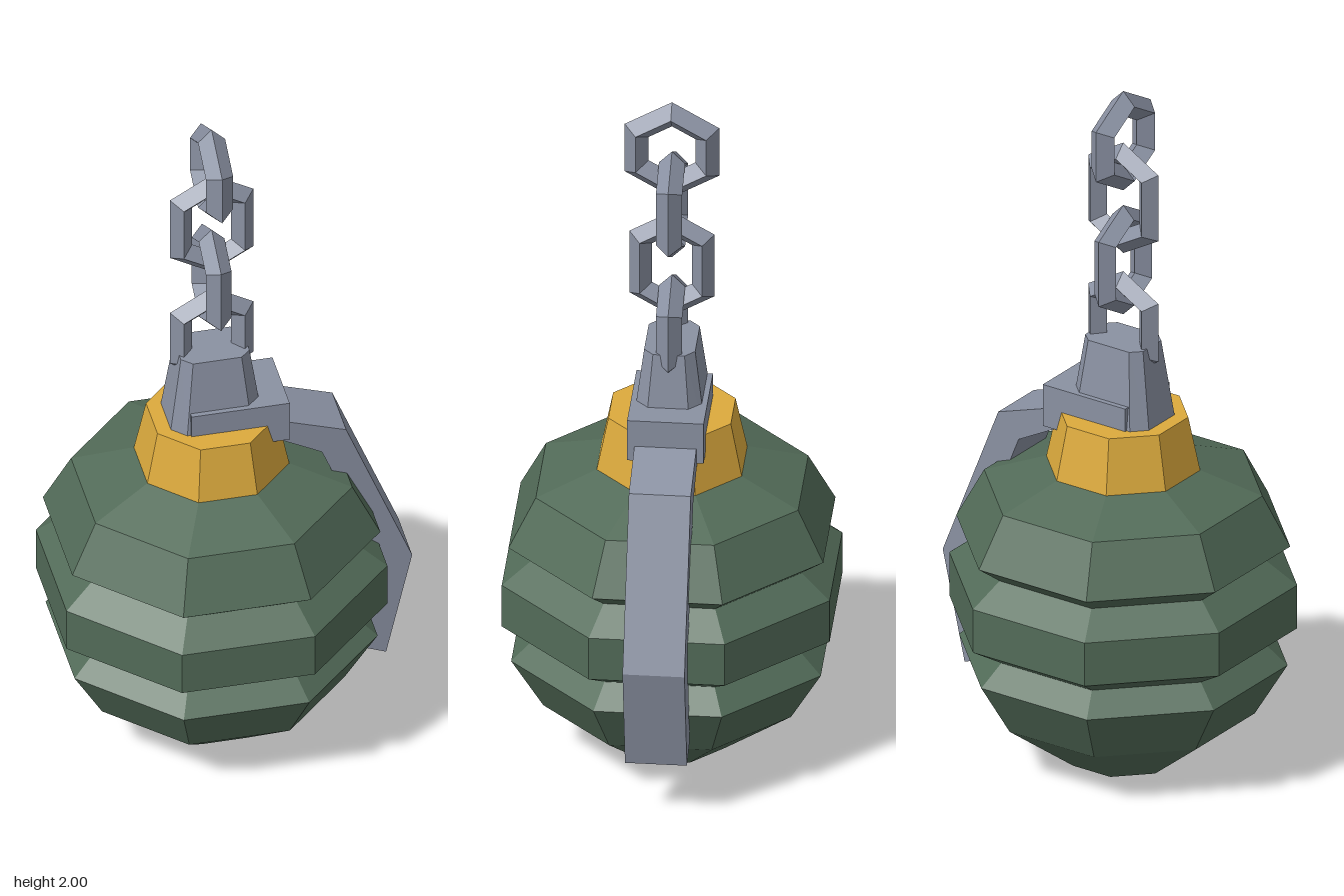
import * as THREE from 'three';

const AXIS_X = -0.05; // the body sits slightly off centre to make room for the lever

export function createModel() {
  const group = new THREE.Group();
  const material = (name, color) => {
    const m = new THREE.MeshStandardMaterial({ color, flatShading: true });
    m.name = name;
    return m;
  };
  const green = material('dark green', 0x526b58);
  const gold = material('gold', 0xdcaa3d);
  const steel = material('steel grey', 0x8a91a2);

  const add = (name, geometry, mat, x = AXIS_X, y = 0) => {
    const g = geometry.index ? geometry.toNonIndexed() : geometry;
    g.computeVertexNormals();
    const mesh = new THREE.Mesh(g, mat);
    mesh.name = name;
    mesh.position.set(x, y, 0);
    group.add(mesh);
    return mesh;
  };

  // Eight-sided solid with flats facing the axes; profile is [apothem, y], bottom to top
  const octagonal = (profile) => new THREE.LatheGeometry(
    profile.map(([a, y]) => new THREE.Vector2(a / Math.cos(Math.PI / 8), y)), 8, Math.PI / 8);

  // Grooved body
  add('body', octagonal([
    [0, 0], [0.15, 0], [0.34, 0.155], [0.425, 0.31], [0.365, 0.37], [0.45, 0.425],
    [0.45, 0.555], [0.37, 0.62], [0.432, 0.67], [0.36, 0.815], [0.2, 0.875], [0, 0.875],
  ]), green);

  // Tapered collar
  add('collar', octagonal([[0, 0.87], [0.2, 0.87], [0.168, 1.032], [0, 1.032]]), gold);

  // Neck: chamfered rectangle narrowing towards the top
  const hx = 0.13, hz = 0.1, c = 0.038, neckHeight = 0.235;
  const outline = [
    [hx, -hz + c], [hx, hz - c], [hx - c, hz], [-hx + c, hz],
    [-hx, hz - c], [-hx, -hz + c], [-hx + c, -hz], [hx - c, -hz],
  ].map(([x, z]) => new THREE.Vector2(x, z));
  const neck = new THREE.ExtrudeGeometry(new THREE.Shape(outline), { depth: neckHeight, bevelEnabled: false });
  neck.rotateX(-Math.PI / 2);
  const np = neck.attributes.position;
  for (let i = 0; i < np.count; i++) {
    const t = np.getY(i) / neckHeight;
    np.setX(i, np.getX(i) * (1 - 0.26 * t));
    np.setZ(i, np.getZ(i) * (1 - 0.3 * t));
  }
  add('neck', neck, steel, AXIS_X, 1.02);

  // Bracket holding the lever
  add('leverBracket', new THREE.BoxGeometry(0.275, 0.125, 0.21), steel, 0.0075, 1.0375);

  // Bent safety lever
  const leverShape = new THREE.Shape([
    [0.09, 0.98], [0.24, 0.9], [0.4, 0.5], [0.34, 0.21],
    [0.42, 0.178], [0.493, 0.5], [0.308, 0.965], [0.13, 1.025],
  ].map(([x, y]) => new THREE.Vector2(x, y)));
  const lever = new THREE.ExtrudeGeometry(leverShape, { depth: 0.17, bevelEnabled: false });
  lever.translate(0, 0, -0.085);
  add('lever', lever, steel, 0);

  // Chain: six-sided links of diamond section, stretched by moving their halves apart
  const link = (name, y, radius, tube, stretch, turned) => {
    const g = new THREE.TorusGeometry(radius, tube, 4, 6);
    g.rotateZ(Math.PI / 2);
    const p = g.attributes.position;
    for (let i = 0; i < p.count; i++) p.setY(i, p.getY(i) + Math.sign(p.getY(i)) * stretch);
    if (turned) g.rotateY(Math.PI / 2);
    add(name, g, steel, AXIS_X, y);
  };
  link('chainLink1', 1.3, 0.099, 0.036, 0.02, false);
  link('chainLink2', 1.49, 0.099, 0.036, 0.03, true);
  link('chainLink3', 1.677, 0.099, 0.036, 0.032, false);
  link('chainLink4', 1.85, 0.112, 0.038, 0, true);

  return group;
}
